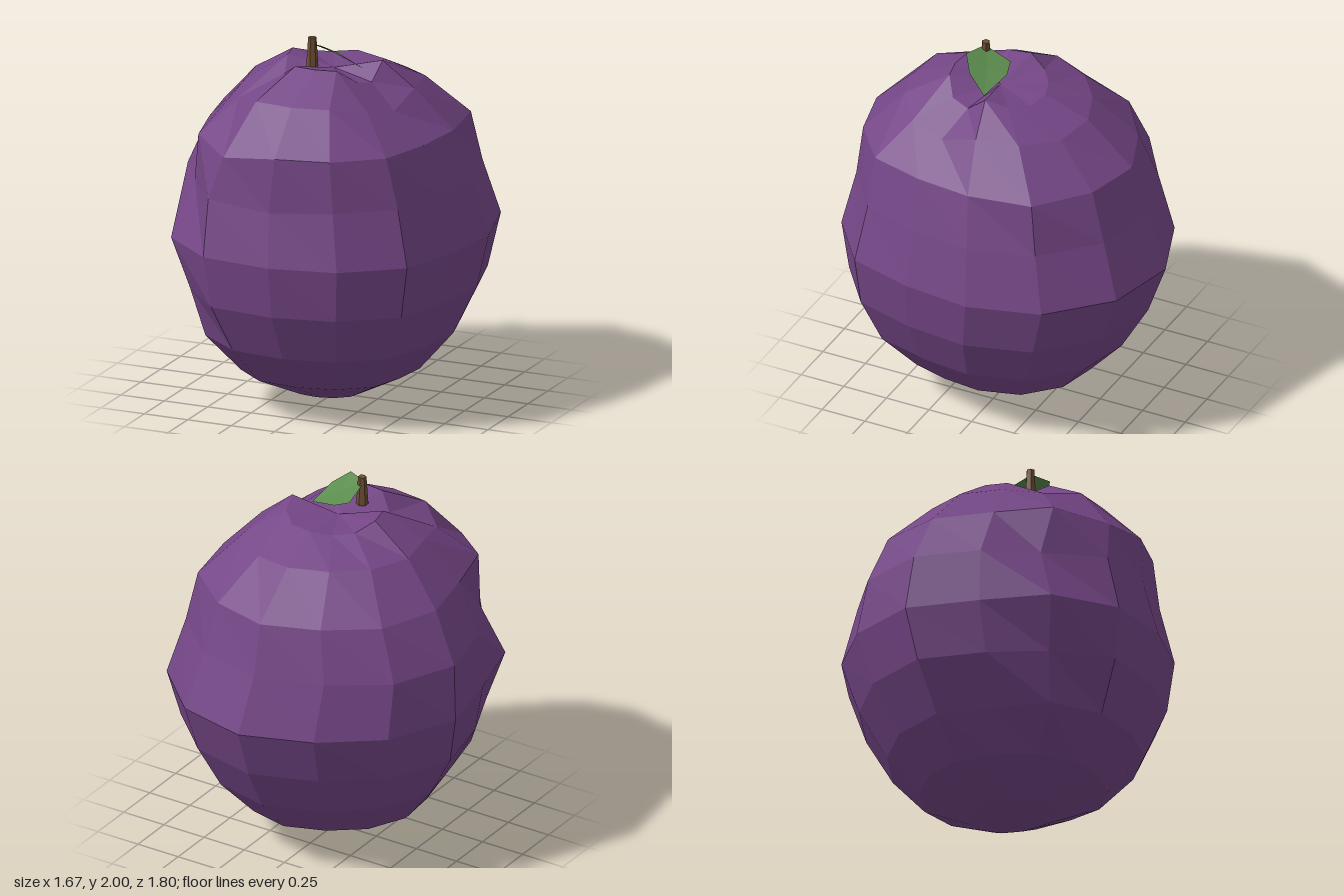
import * as THREE from 'three';

// Outline of the widest ring, clockwise seen from above, starting at the back: [x, z]
const OUTLINE = [
  [0.03, -0.9], [0.42, -0.81], [0.72, -0.52], [0.83, -0.13], [0.79, 0.24], [0.69, 0.59], [0.39, 0.82],
  [0.03, 0.9], [-0.36, 0.86], [-0.66, 0.61], [-0.76, 0.24], [-0.84, -0.15], [-0.66, -0.52], [-0.35, -0.76],
];

// Rings from bottom to top: [y, xMin, xMax, zMin, zMax]
const RINGS = [
  [0.06, -0.18, 0.22, -0.19, 0.28],
  [0.19, -0.46, 0.48, -0.46, 0.55],
  [0.40, -0.63, 0.66, -0.65, 0.74],
  [0.66, -0.78, 0.78, -0.80, 0.86],
  [0.94, -0.84, 0.83, -0.90, 0.90],
  [1.24, -0.81, 0.75, -0.79, 0.83],
  [1.51, -0.67, 0.66, -0.70, 0.80],
  [1.73, -0.46, 0.46, -0.44, 0.58],
  [1.87, -0.23, 0.29, -0.20, 0.33],
];

// Bulges and dents of the flank, by ring and side
const SWELL = {
  1: { 10: 1.06 },
  2: { 9: 1.02 },
  3: { 9: 0.94 },
  5: { 9: 0.89, 12: 1.02 },
  6: { 2: 1.05, 12: 1.03 },
  7: { 2: 1.04 },
};

// Height changes of the flank and the puckered crown, by ring and side
const LIFT = {
  5: { 7: -0.02 },
  6: { 8: -0.04 },
  7: { 1: -0.02, 4: -0.07, 5: -0.04, 9: -0.04 },
  8: { 0: -0.04, 1: -0.05, 2: -0.03, 4: -0.09, 5: -0.07, 9: -0.07, 12: -0.04, 13: -0.05 },
};

function makeGeometry(positions, indices) {
  const geometry = new THREE.BufferGeometry();
  geometry.setAttribute('position', new THREE.Float32BufferAttribute(positions, 3));
  geometry.setIndex(indices);
  geometry.computeVertexNormals();
  return geometry;
}

function makeMesh(name, geometry, color, side = THREE.FrontSide) {
  const mesh = new THREE.Mesh(geometry, new THREE.MeshStandardMaterial({ color, flatShading: true, side }));
  mesh.name = name;
  return mesh;
}

// Lumpy faceted fruit with a sunken crown
function fruitGeometry() {
  const n = OUTLINE.length;
  const positions = [];
  const indices = [];
  RINGS.forEach(([y, xMin, xMax, zMin, zMax], ring) => {
    OUTLINE.forEach(([ox, oz], side) => {
      const swell = SWELL[ring]?.[side] ?? 1;
      const x = THREE.MathUtils.mapLinear(ox, -0.84, 0.83, xMin, xMax);
      const z = THREE.MathUtils.mapLinear(oz, -0.9, 0.9, zMin, zMax);
      positions.push(x * swell, y + (LIFT[ring]?.[side] ?? 0), z * swell);
    });
  });
  const bottom = positions.length / 3;
  const top = bottom + 1;
  positions.push(0.03, 0, 0.06, 0.03, 1.81, 0.07);

  const last = (RINGS.length - 1) * n;
  for (let j = 0; j < n; j++) {
    const k = (j + 1) % n;
    for (let i = 0; i < RINGS.length - 1; i++) {
      const a = i * n + j, b = i * n + k;
      indices.push(a, a + n, b + n, a, b + n, b);
    }
    indices.push(bottom, j, k, top, last + k, last + j);
  }
  return makeGeometry(positions, indices);
}

// Small tilted leaf, fanned from its middle
function leafGeometry() {
  const edge = [
    [-0.05, 1.91, 0.05], [0.03, 1.88, 0.03], [0.20, 1.83, 0.08],
    [0.15, 1.91, 0.19], [0.07, 1.97, 0.25], [-0.05, 1.97, 0.20],
  ];
  const positions = [0.06, 1.91, 0.13, ...edge.flat()];
  const indices = [];
  edge.forEach((_, i) => indices.push(0, ((i + 1) % edge.length) + 1, i + 1));
  return makeGeometry(positions, indices);
}

export function createModel() {
  const group = new THREE.Group();
  group.name = 'fruit';

  group.add(makeMesh('fruitBody', fruitGeometry(), 0x744686));

  const stem = makeMesh('stem', new THREE.CylinderGeometry(0.022, 0.032, 0.16, 6), 0x6b4f33);
  stem.position.set(-0.04, 1.92, 0.19);
  group.add(stem);

  group.add(makeMesh('leaf', leafGeometry(), 0x5a8a4c, THREE.DoubleSide));

  return group;
}
